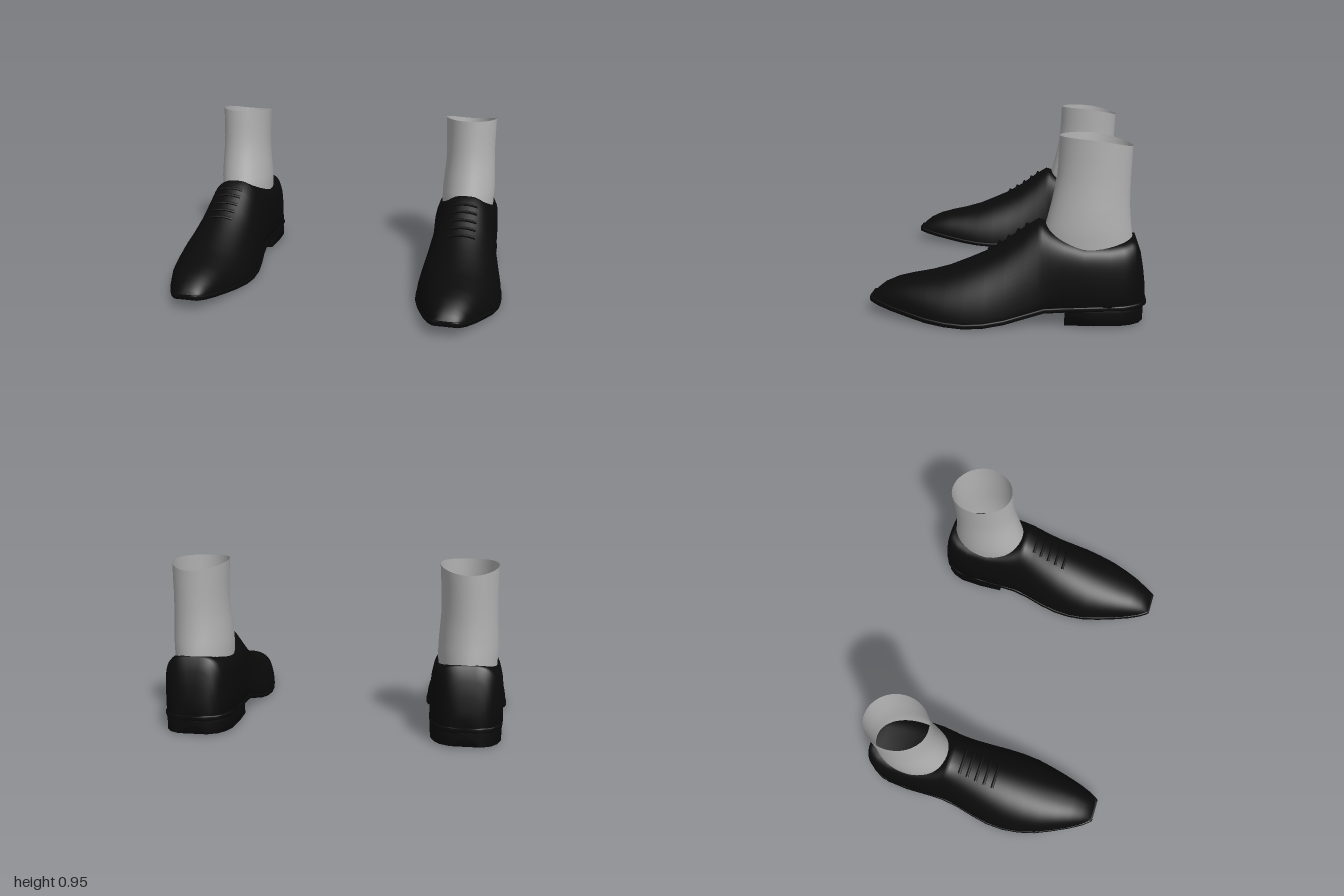
import * as THREE from 'three';

const SEG = 40;

// Skin a list of closed rings; caps are optional fans.
function loft(rings, capped) {
  const n = rings[0].length, pos = [], idx = [];
  rings.forEach(r => r.forEach(p => pos.push(p.x, p.y, p.z)));
  for (let i = 0; i < rings.length - 1; i++) {
    for (let j = 0; j < n; j++) {
      const k = (j + 1) % n, a = i * n, b = a + n;
      idx.push(a + j, a + k, b + k, a + j, b + k, b + j);
    }
  }
  if (capped) {
    [0, rings.length - 1].forEach((ri, end) => {
      const c = new THREE.Vector3();
      rings[ri].forEach(p => c.addScaledVector(p, 1 / n));
      const ci = pos.length / 3;
      pos.push(c.x, c.y, c.z);
      for (let j = 0; j < n; j++) {
        const a = ri * n + j, b = ri * n + (j + 1) % n;
        if (end) idx.push(ci, a, b); else idx.push(ci, b, a);
      }
    });
  }
  const g = new THREE.BufferGeometry();
  g.setAttribute('position', new THREE.Float32BufferAttribute(pos, 3));
  g.setIndex(idx);
  g.computeVertexNormals();
  return g;
}

// Domed section with a flat base: half superellipse of power e.
function domeRing([z, base, top, half, e], cx) {
  const pts = [];
  for (let j = 0; j <= SEG; j++) {
    const a = Math.PI * j / SEG, c = Math.cos(a), s = Math.max(0, Math.sin(a));
    pts.push(new THREE.Vector3(
      cx + half * Math.sign(c) * Math.pow(Math.abs(c), 2 / e),
      base + (top - base) * Math.pow(s, 2 / e), z));
  }
  for (let j = 1; j < 8; j++) pts.push(new THREE.Vector3(cx - half + half * j / 4, base, z));
  return pts;
}

// Piecewise-linear lookup in [[z, value], ...]
function sample(table, z) {
  for (let i = 1; i < table.length; i++) {
    if (z <= table[i][0]) {
      const [a, b] = [table[i - 1], table[i]];
      return THREE.MathUtils.mapLinear(Math.max(z, a[0]), a[0], b[0], a[1], b[1]);
    }
  }
  return table[table.length - 1][1];
}

const centre = z => sample([[-0.72, 0.738], [-0.2, 0.745], [0.15, 0.753], [0.4, 0.75], [0.72, 0.728]], z);

// Upper: z, base, top, half width, roundness; heel to toe
const UPPER = [
  [-0.715, 0.1, 0.2, 0.07, 3], [-0.705, 0.1, 0.28, 0.1, 3], [-0.69, 0.1, 0.36, 0.127, 3.5],
  [-0.665, 0.1, 0.432, 0.15, 4], [-0.64, 0.1, 0.433, 0.166, 4.5], [-0.6, 0.1, 0.425, 0.183, 5],
  [-0.53, 0.1, 0.417, 0.196, 5.5], [-0.4, 0.09, 0.412, 0.199, 6], [-0.3, 0.085, 0.442, 0.197, 5],
  [-0.23, 0.08, 0.475, 0.195, 3.5], [-0.19, 0.08, 0.505, 0.195, 2.7], [-0.165, 0.07, 0.512, 0.197, 2.5],
  [-0.1, 0.055, 0.472, 0.206, 2.3], [0, 0.03, 0.4, 0.225, 2.1], [0.1, 0.015, 0.34, 0.24, 2],
  [0.2, 0.01, 0.295, 0.243, 2], [0.3, 0.015, 0.253, 0.233, 2], [0.4, 0.025, 0.223, 0.208, 2.1],
  [0.5, 0.04, 0.202, 0.174, 2.2], [0.58, 0.05, 0.182, 0.143, 2.2], [0.65, 0.06, 0.15, 0.11, 2.2],
  [0.69, 0.07, 0.118, 0.085, 2.2], [0.71, 0.075, 0.095, 0.068, 2.2],
];

// Sole: z, underside height, half width
const SOLE = [
  [-0.722, 0.09, 0.075], [-0.69, 0.09, 0.135], [-0.66, 0.09, 0.16], [-0.6, 0.09, 0.19],
  [-0.45, 0.088, 0.203], [-0.3, 0.08, 0.2], [-0.2, 0.073, 0.2], [-0.1, 0.045, 0.21],
  [0, 0.02, 0.23], [0.1, 0.006, 0.246], [0.2, 0, 0.248], [0.3, 0.005, 0.238], [0.4, 0.015, 0.214],
  [0.5, 0.03, 0.179], [0.6, 0.045, 0.139], [0.67, 0.057, 0.104], [0.705, 0.065, 0.08], [0.72, 0.068, 0.066],
];

// Heel block: z, half width
const HEEL = [[-0.705, 0.085], [-0.68, 0.135], [-0.64, 0.166], [-0.58, 0.188], [-0.45, 0.197], [-0.305, 0.192]];

// Sock: height, front z, back z, centre x, half width
const SOCK = [
  [0.36, -0.19, -0.65, 0.743, 0.158], [0.44, -0.19, -0.648, 0.743, 0.162], [0.5, -0.205, -0.64, 0.744, 0.163],
  [0.6, -0.23, -0.632, 0.745, 0.157], [0.68, -0.248, -0.632, 0.745, 0.151], [0.76, -0.26, -0.634, 0.743, 0.15],
  [0.85, -0.266, -0.637, 0.741, 0.152], [0.95, -0.27, -0.64, 0.738, 0.155],
];

// Sock ring, with the upper rings dipping towards the back
function sockRing([y, front, back, cx, half], i) {
  const pts = [], drop = i === SOCK.length - 1 ? 0.05 : i === SOCK.length - 2 ? 0.02 : 0;
  for (let j = 0; j < SEG; j++) {
    const a = 2 * Math.PI * j / SEG, s = (1 + Math.sin(a)) / 2;
    pts.push(new THREE.Vector3(cx + half * Math.cos(a), y - drop * Math.pow(s, 2.5),
      THREE.MathUtils.lerp(front, back, s)));
  }
  return pts;
}

// Lace bar draped over the instep
function laceGeometry(z) {
  const top = sample(UPPER.map(u => [u[0], u[2]]), z);
  const pts = [-0.075, -0.04, 0, 0.04, 0.075].map(x =>
    new THREE.Vector3(centre(z) + x, top + 0.003 - 1.9 * x * x, z));
  return new THREE.TubeGeometry(new THREE.CatmullRomCurve3(pts), 12, 0.009, 6);
}

// Mirror a geometry in x, keeping its faces outward
function mirrored(geo) {
  const g = geo.clone().scale(-1, 1, 1), ix = g.index.array;
  for (let i = 0; i < ix.length; i += 3) [ix[i], ix[i + 1]] = [ix[i + 1], ix[i]];
  g.computeVertexNormals();
  return g;
}

export function createModel() {
  const black = new THREE.MeshStandardMaterial({ color: 0x0a0a0a });
  black.name = 'black leather';
  const grey = new THREE.MeshStandardMaterial({ color: 0xb2b2b2, side: THREE.DoubleSide });
  grey.name = 'grey sock';

  const parts = [
    ['upper', loft(UPPER.map(u => domeRing(u, centre(u[0]))), true), black],
    ['sole', loft(SOLE.map(([z, y, w]) => domeRing([z, y, y + 0.028, w, 8], centre(z))), true), black],
    ['heel', loft(HEEL.map(([z, w]) => domeRing([z, 0.01, 0.1, w, 16], centre(z))), true), black],
    ['sock', loft(SOCK.map(sockRing), false), grey],
    ...[0.09, 0.04, -0.01, -0.06, -0.105].map(z => ['lace', laceGeometry(z), black]),
  ];

  const model = new THREE.Group();
  model.name = 'pairOfShoes';
  for (const side of ['left', 'right']) {
    const shoe = new THREE.Group();
    shoe.name = side + 'Shoe';
    for (const [name, geo, mat] of parts) {
      const mesh = new THREE.Mesh(side === 'left' ? geo : mirrored(geo), mat);
      mesh.name = name;
      shoe.add(mesh);
    }
    model.add(shoe);
  }
  return model;
}
